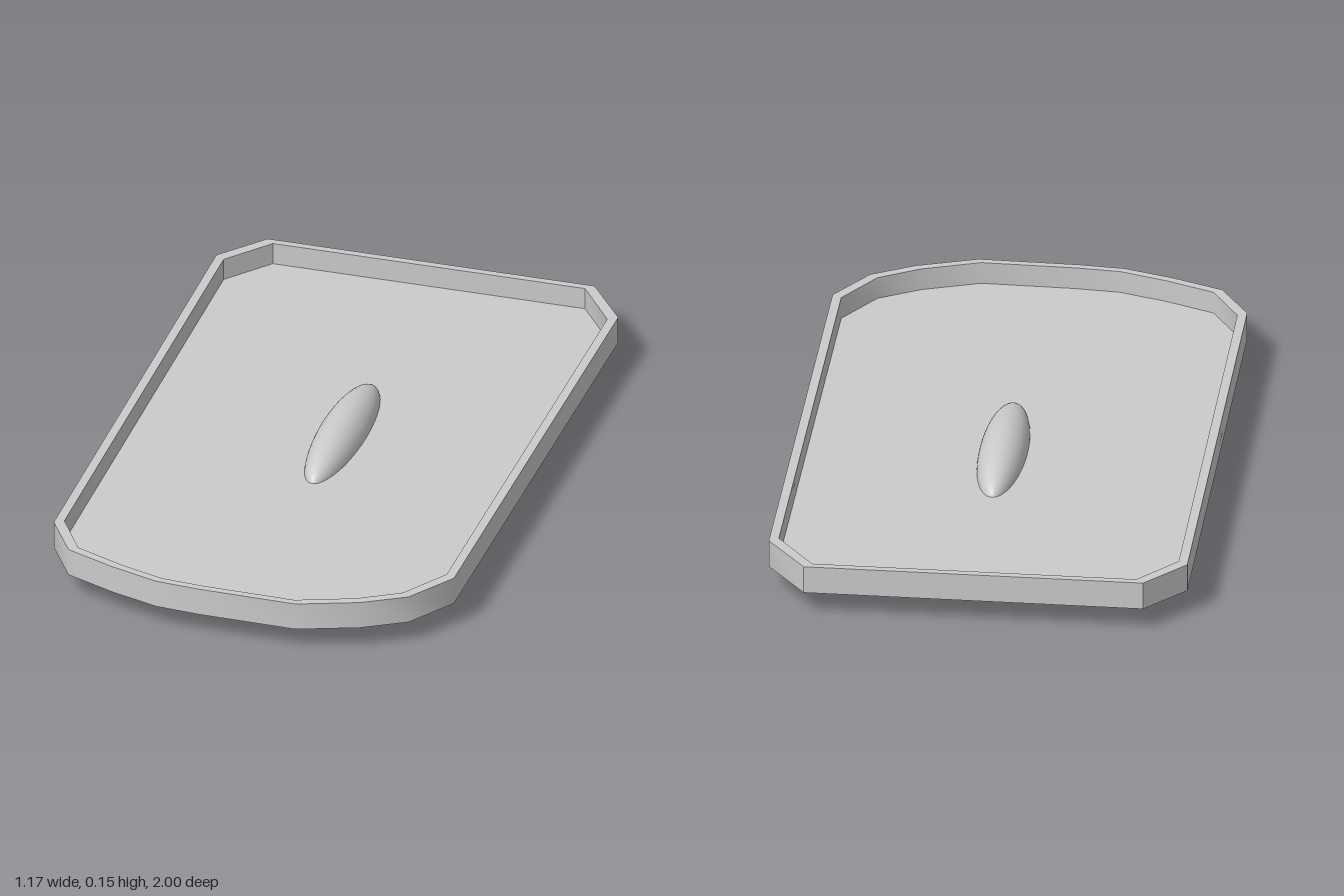
import * as THREE from 'three';
import { toCreasedNormals } from 'three/addons/utils/BufferGeometryUtils.js';

// Tray outline as (x, z) corners: chamfered back, bowed front
const OUTLINE = [
  [-0.48, -1], [0.47, -1], [0.585, -0.845], [0.58, 0.73], [0.49, 0.87],
  [0.37, 0.94], [0.20, 1], [-0.08, 0.995], [-0.21, 0.985], [-0.35, 0.94],
  [-0.495, 0.88], [-0.58, 0.74], [-0.59, -0.87],
];
const RIM_BOTTOM = 0.067, RIM_TOP = 0.147, FLOOR_Y = 0.083;

const points = (sx, sz) => OUTLINE.map(([x, z]) => new THREE.Vector2(x * sx, z * sz));

export function createModel() {
  const group = new THREE.Group();
  const grey = new THREE.MeshStandardMaterial({ color: 0xcccccc });
  const thin = new THREE.MeshStandardMaterial({ color: 0xcccccc, side: THREE.DoubleSide });
  const add = (name, geometry, material) => {
    const mesh = new THREE.Mesh(geometry, material);
    mesh.name = name;
    group.add(mesh);
    return mesh;
  };

  // Upright rim around the tray
  const ring = new THREE.Shape(points(1, 1));
  ring.holes.push(new THREE.Path(points(0.955, 0.978)));
  const rim = new THREE.ExtrudeGeometry(ring, { depth: RIM_TOP - RIM_BOTTOM, bevelEnabled: false });
  rim.rotateX(Math.PI / 2).translate(0, RIM_TOP, 0);
  add('rim', toCreasedNormals(rim, 0.65), grey);

  // Thin floor, set slightly above the rim's lower edge
  const floor = new THREE.ShapeGeometry(new THREE.Shape(points(0.957, 0.98)));
  floor.rotateX(Math.PI / 2).translate(0, FLOOR_Y, 0);
  add('floor', floor, thin);

  // Long rounded boss passing through the floor
  const boss = add('centreBoss', new THREE.SphereGeometry(1, 48, 32), grey);
  boss.scale.set(0.068, 0.076, 0.292);
  boss.position.set(0.012, 0.076, -0.082);

  return group;
}
